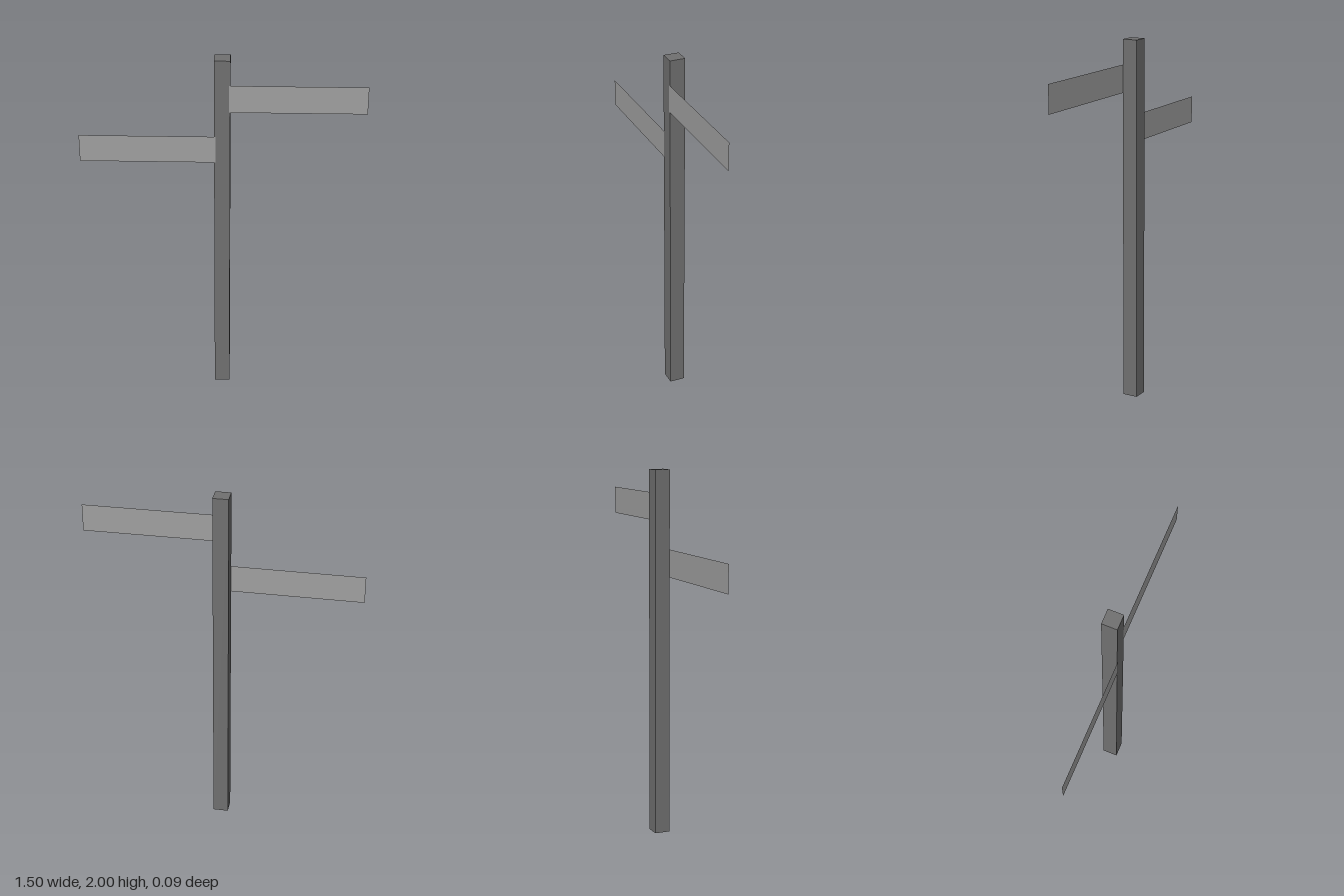
import * as THREE from 'three';

export function createModel() {
  const group = new THREE.Group();
  group.name = 'signpost';

  const postMaterial = new THREE.MeshStandardMaterial({ color: 0x707070, flatShading: true, side: THREE.DoubleSide });
  const boardMaterial = new THREE.MeshStandardMaterial({ color: 0xa0a0a0, flatShading: true, side: THREE.DoubleSide });

  // Square hollow post, closed on top and open at the foot
  const height = 2, width = 0.084;
  const postGeometry = new THREE.BoxGeometry(width, height, width);
  const index = Array.from(postGeometry.index.array);
  index.splice(18, 6); // drop the bottom face
  postGeometry.setIndex(index);
  postGeometry.clearGroups();
  const post = new THREE.Mesh(postGeometry, postMaterial);
  post.name = 'post';
  post.position.set(0, height / 2, -0.001);
  group.add(post);

  // Thin boards fixed just in front of the post, one to each side
  const inner = 0.035, outer = 0.75, boardHeight = 0.151;
  const addBoard = (name, side, y) => {
    const board = new THREE.Mesh(new THREE.PlaneGeometry(outer - inner, boardHeight), boardMaterial);
    board.name = name;
    board.position.set(side * (inner + outer) / 2, y, 0.043);
    group.add(board);
  };
  addBoard('leftBoard', 1, 1.789);
  addBoard('rightBoard', -1, 1.498);

  return group;
}
